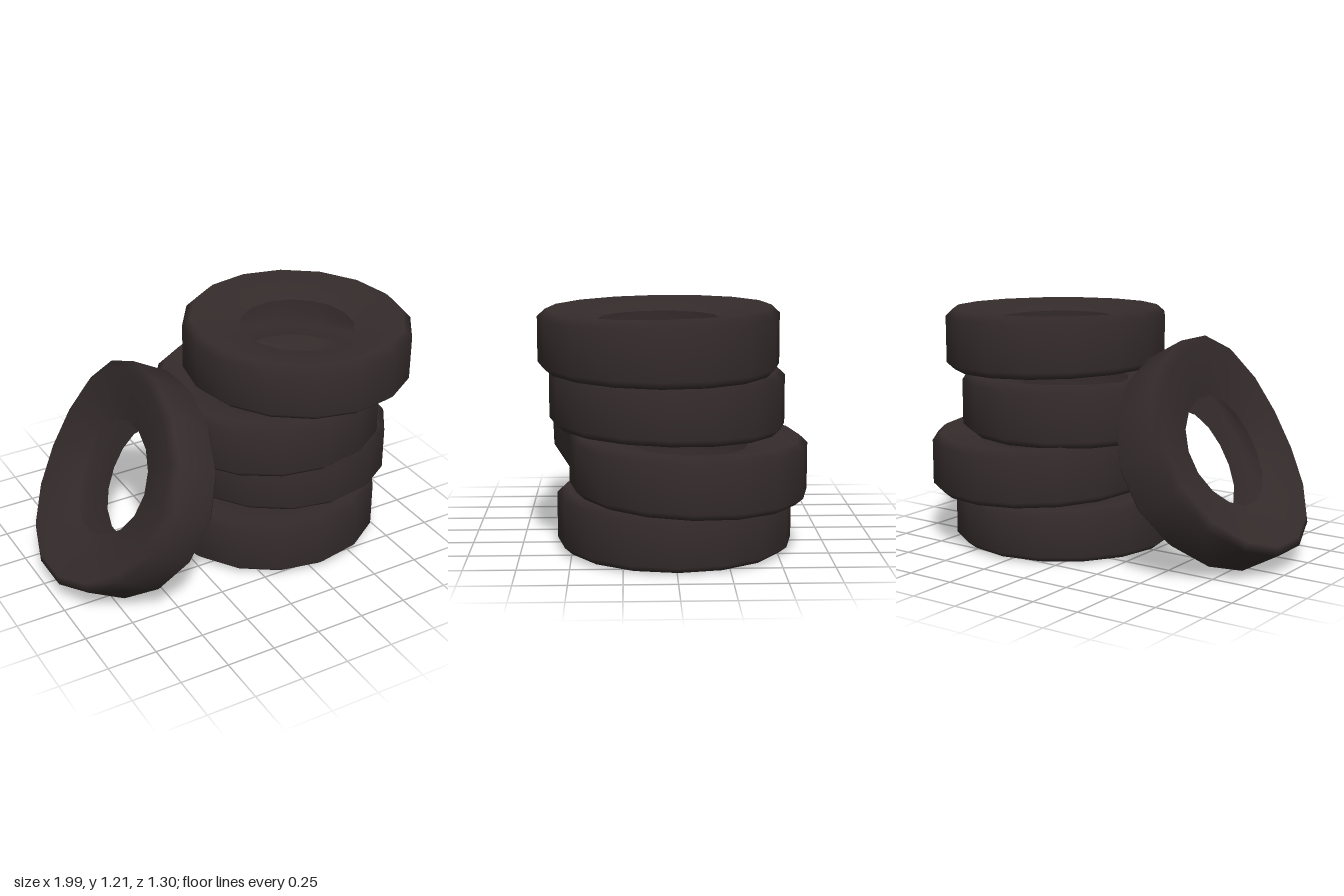
import * as THREE from 'three';
import { mergeVertices } from 'three/addons/utils/BufferGeometryUtils.js';

const R = 0.58;

// Hollow tyre shell of 16 sides with dished side walls; y runs 0..1 across its width,
// then `warp` reshapes each point. `turn` rotates the sides around the axle.
function tyreGeometry(turn, warp) {
  const profile = [
    [0.29, 0.175], [0.54, 0], [R, 0.12], [R, 0.88], [0.54, 1], [0.29, 0.825],
  ].map(([x, y]) => new THREE.Vector2(x, y));
  let geo = new THREE.LatheGeometry(profile, 16, turn);
  geo.deleteAttribute('uv');
  geo.deleteAttribute('normal');
  const pos = geo.attributes.position;
  const v = new THREE.Vector3();
  for (let i = 0; i < pos.count; i++) {
    v.fromBufferAttribute(pos, i);
    warp(v);
    pos.setXYZ(i, v.x, v.y, v.z);
  }
  geo = mergeVertices(geo, 1e-4);
  geo.computeVertexNormals();
  return geo;
}

export function createModel() {
  const group = new THREE.Group();
  const rubber = new THREE.MeshStandardMaterial({ color: 0x352c2c, side: THREE.DoubleSide });
  rubber.name = 'darkRubber';

  // Stacked tyres: centre, then lower and upper planes as [height, slope in x, slope in z]
  const stack = [
    { x: 0.30, z: -0.005, low: [0.012, 0, 0], high: [0.293, -0.005, 0.034] },
    { x: 0.40, z: -0.07, low: [0.295, -0.02, 0.035], high: [0.592, -0.018, 0.028] },
    { x: 0.275, z: 0.03, low: [0.596, 0.005, 0.03], high: [0.899, -0.01, 0.01] },
    { x: 0.42, z: 0.075, low: [0.902, -0.028, 0.013], high: [1.205, -0.015, -0.015] },
  ];
  const stackGroup = new THREE.Group();
  stackGroup.name = 'tyreStack';
  stack.forEach(({ x, z, low, high }, i) => {
    const plane = ([h, sx, sz], v) => h + sx * v.x + sz * v.z;
    const tyre = new THREE.Mesh(tyreGeometry(0, (v) => {
      v.y = THREE.MathUtils.lerp(plane(low, v), plane(high, v), v.y);
    }), rubber);
    tyre.name = `stackedTyre${i + 1}`;
    tyre.position.set(x, 0, z);
    stackGroup.add(tyre);
  });
  group.add(stackGroup);

  // Leaning tyre, sagging in a bow along its length
  const leaning = new THREE.Mesh(tyreGeometry(Math.PI / 16, (v) => {
    const t = v.x / R;
    v.y = (v.y - 0.5) * 0.285 + 0.095 * (1 - t * t);
  }), rubber);
  leaning.name = 'leaningTyre';
  const along = new THREE.Vector3(0.486, 0.874, 0).normalize();
  const axis = new THREE.Vector3(along.y, -along.x, 0);
  leaning.quaternion.setFromRotationMatrix(
    new THREE.Matrix4().makeBasis(along, axis, new THREE.Vector3().crossVectors(along, axis)));
  leaning.position.set(-0.62, 0.558, 0.06);
  group.add(leaning);

  return group;
}
